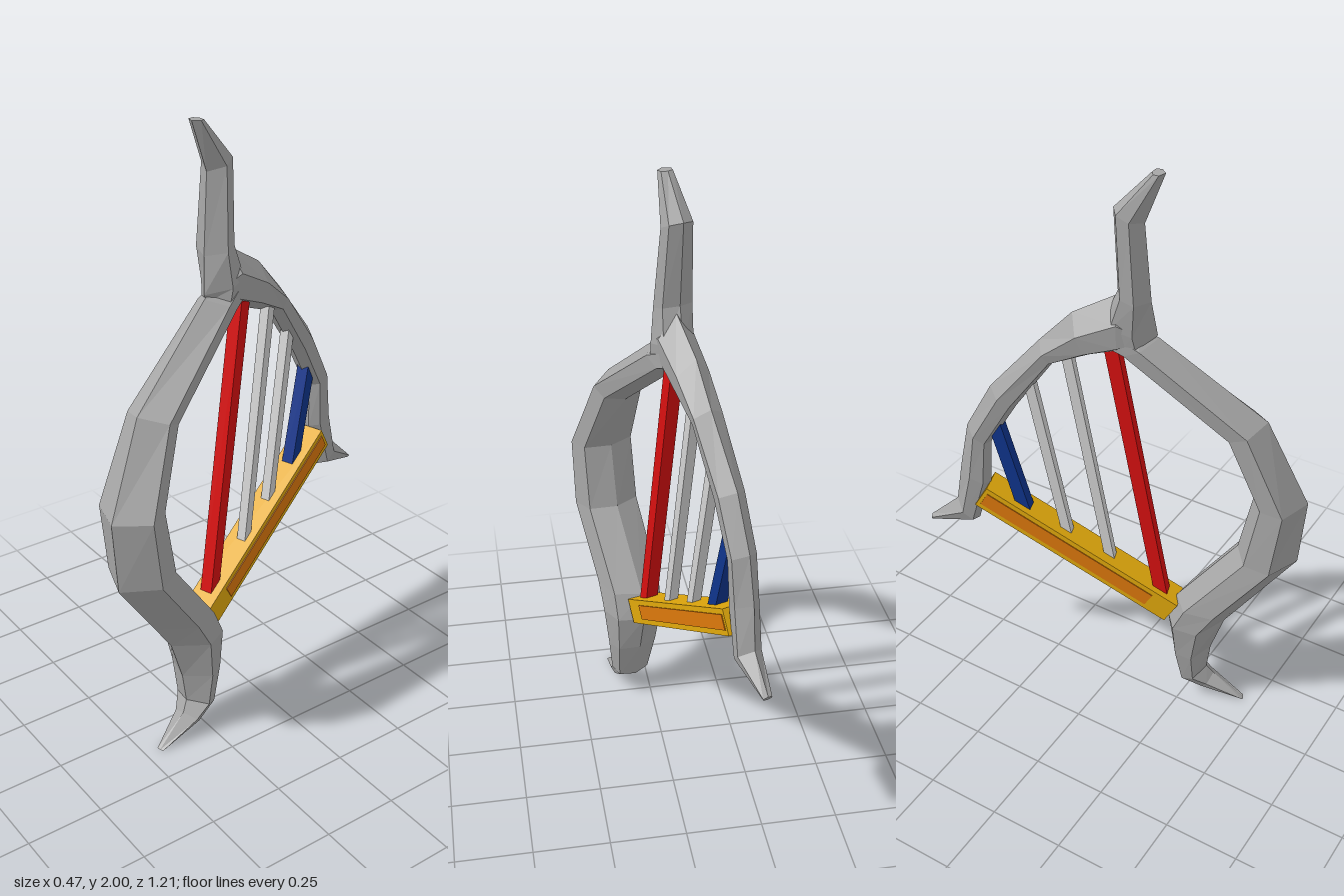
import * as THREE from 'three';

const mat = (name, color) => Object.assign(new THREE.MeshStandardMaterial({ color, flatShading: true }), { name });

// The harp stands in a vertical plane turned about y
const SLOPE = 0.33, OFFSET = -0.055;
const ANGLE = Math.atan(SLOPE);
const SIDE = new THREE.Vector3(Math.cos(ANGLE), 0, -Math.sin(ANGLE));
const onPlane = (z, y, dx = 0) => new THREE.Vector3(SLOPE * z + OFFSET + dx, y, z);

// Six-sided limb: outer ridge, flat sides, inner ridge
// station = [outer z, outer y, inner z, inner y, half width, x shift]
const SECTION = [[0, 0], [0.4, 1], [0.83, 0.85], [1, 0], [0.83, -0.85], [0.4, -1]];
function limb(name, stations, material) {
  const pos = [], idx = [], m = SECTION.length;
  for (const [oz, oy, iz, iy, w, dx = 0] of stations) {
    const o = onPlane(oz, oy, dx), i = onPlane(iz, iy, dx);
    for (const [t, s] of SECTION) {
      const p = o.clone().lerp(i, t).addScaledVector(SIDE, s * w);
      pos.push(p.x, p.y, p.z);
    }
  }
  const e = (stations.length - 1) * m;
  for (let s = 0; s < e; s += m) {
    for (let k = 0; k < m; k++) {
      const a = s + k, b = s + (k + 1) % m;
      idx.push(a, b, b + m, a, b + m, a + m);
    }
  }
  for (let k = 1; k < m - 1; k++) idx.push(0, k + 1, k, e, e + k, e + k + 1);
  const indexed = new THREE.BufferGeometry();
  indexed.setAttribute('position', new THREE.Float32BufferAttribute(pos, 3));
  indexed.setIndex(idx);
  const geo = indexed.toNonIndexed();
  geo.computeVertexNormals();
  const mesh = new THREE.Mesh(geo, material);
  mesh.name = name;
  return mesh;
}

// Straight box between two points of the plane, pushed sideways by shift
function beam(name, from, to, width, depth, material, shift) {
  const a = onPlane(...from), b = onPlane(...to);
  const dir = b.clone().sub(a);
  const mesh = new THREE.Mesh(new THREE.BoxGeometry(width, dir.length(), depth), material);
  dir.normalize();
  const normal = SIDE.clone().cross(dir);
  mesh.quaternion.setFromRotationMatrix(new THREE.Matrix4().makeBasis(SIDE, dir, normal));
  mesh.position.copy(a).add(b).multiplyScalar(0.5).addScaledVector(SIDE, shift);
  mesh.name = name;
  return mesh;
}

export function createModel() {
  const harp = new THREE.Group();
  harp.name = 'harp';
  const grey = mat('frame grey', 0xa6a6a6);
  const yellow = mat('bar yellow', 0xe0a80c);
  const orange = mat('inlay orange', 0xdc780c);
  const red = mat('string red', 0xd81010);
  const white = mat('string white', 0xd2d2d2);
  const blue = mat('string blue', 0x0f348c);

  // Bowed front pillar with curled foot
  harp.add(limb('pillar', [
    [0.45, 0.0, 0.445, 0.0, 0.012, 0.03],
    [0.34, 0.085, 0.30, 0.04, 0.045, 0.042],
    [0.318, 0.12, 0.23, 0.09, 0.066, 0.036],
    [0.33, 0.22, 0.204, 0.23, 0.084, 0.03],
    [0.373, 0.36, 0.188, 0.363, 0.1, 0.022],
    [0.44, 0.46, 0.22, 0.45, 0.103, 0.014],
    [0.59, 0.68, 0.405, 0.706, 0.107, 0.01],
    [0.606, 0.918, 0.447, 0.93, 0.105, 0.008],
    [0.474, 1.21, 0.352, 1.156, 0.08],
    [0.156, 1.463, 0.045, 1.405, 0.06, -0.008],
    [0.09, 1.50, 0.0, 1.42, 0.05, -0.01],
  ], grey));

  // Crown horn above the joint
  harp.add(limb('crown', [
    [0.14, 1.45, 0.04, 1.43, 0.055, -0.01],
    [0.153, 1.475, 0.0, 1.51, 0.06, -0.012],
    [0.14, 1.59, 0.045, 1.617, 0.06, -0.025],
    [0.12, 1.84, 0.034, 1.88, 0.047, -0.028],
    [0.177, 2.0, 0.14, 2.0, 0.023, -0.035],
  ], grey));

  // Curved neck with flicked tail
  harp.add(limb('neck', [
    [0.08, 1.56, 0.08, 1.43, 0.054, -0.015],
    [0.045, 1.6, 0.045, 1.405, 0.06, -0.012],
    [-0.1, 1.51, -0.05, 1.37, 0.055],
    [-0.204, 1.394, -0.16, 1.325, 0.049, 0.008],
    [-0.362, 1.2, -0.283, 1.14, 0.045, 0.01],
    [-0.447, 1.034, -0.373, 0.98, 0.043, 0.015],
    [-0.475, 0.87, -0.38, 0.82, 0.043, 0.012],
    [-0.5, 0.722, -0.43, 0.653, 0.042, 0.018],
    [-0.6, 0.625, -0.595, 0.61, 0.016, 0.03],
  ], grey));

  // Slanted lower bar with an inlay plate on each side
  harp.add(beam('lowerBar', [0.213, 0.4], [-0.4, 0.779], 0.094, 0.086, yellow, 0.016));
  for (const s of [-1, 1]) {
    harp.add(beam('barInlay', [0.14, 0.445], [-0.39, 0.773], 0.006, 0.05, orange, 0.016 + s * 0.047));
  }

  // Strings, longest at the pillar
  const strings = [
    ['redString', [0.18, 0.43], [0.01, 1.42], 0.043, red],
    ['longWhiteString', [0.008, 0.53, 0.01], [-0.125, 1.36, 0.005], 0.032, white],
    ['shortWhiteString', [-0.127, 0.61, 0.005], [-0.24, 1.25], 0.032, white],
    ['blueString', [-0.258, 0.69], [-0.352, 1.07], 0.042, blue],
  ];
  for (const [name, from, to, size, material] of strings) {
    harp.add(beam(name, from, to, size, size, material, 0.014));
  }
  return harp;
}
